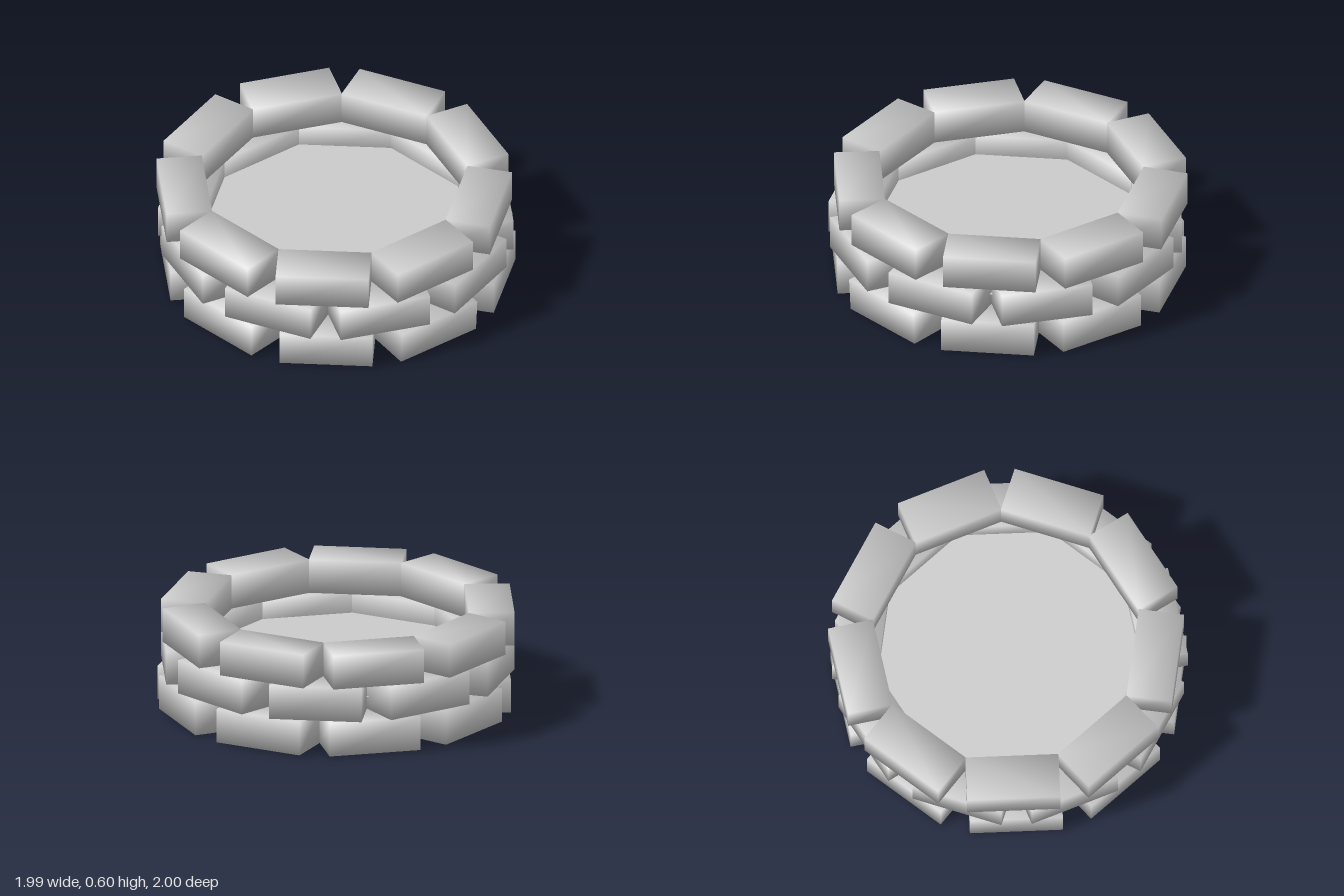
import * as THREE from 'three';
import { mergeVertices } from 'three/addons/utils/BufferGeometryUtils.js';

const BRICKS = 9;
const RADIUS = 0.836; // distance from the ring axis to a brick's middle
const DEPTH = 0.255, HEIGHT = 0.195, LENGTH = 0.52;

// Box with shared corners, giving soft shading across its edges
function softBox(w, h, d) {
  const box = new THREE.BoxGeometry(w, h, d);
  box.deleteAttribute('normal');
  box.deleteAttribute('uv');
  const soft = mergeVertices(box);
  soft.computeVertexNormals();
  return soft;
}

export function createModel() {
  const model = new THREE.Group();
  model.name = 'brickRing';
  const material = new THREE.MeshStandardMaterial({ color: 0xcccccc });
  const brickGeometry = softBox(DEPTH, HEIGHT, LENGTH);

  // Courses of bricks, each turned half a brick and set slightly off centre
  const courses = [
    { name: 'bottomCourse', x: -0.005, y: 0.105, z: 0.005, turn: 20 },
    { name: 'middleCourse', x: -0.005, y: 0.303, z: 0.005, turn: 0 },
    { name: 'topCourse', x: -0.025, y: 0.503, z: -0.01, turn: 20 },
  ];
  for (const { name, x, y, z, turn } of courses) {
    const course = new THREE.Group();
    course.name = name;
    course.position.set(x, y, z);
    for (let i = 0; i < BRICKS; i++) {
      const angle = THREE.MathUtils.degToRad(turn + (i * 360) / BRICKS);
      const brick = new THREE.Mesh(brickGeometry, material);
      brick.name = 'brick';
      brick.position.set(RADIUS * Math.cos(angle), 0, RADIUS * Math.sin(angle));
      brick.rotation.y = -angle;
      // One brick of the lowest course leans slightly outward
      if (name === 'bottomCourse' && i === 1) brick.rotation.z = -0.06;
      course.add(brick);
    }
    model.add(course);
  }

  // Thin floor held inside the middle course
  const floor = new THREE.Mesh(
    new THREE.CircleGeometry(0.78, 48),
    new THREE.MeshStandardMaterial({ color: 0xcccccc, side: THREE.DoubleSide })
  );
  floor.name = 'floor';
  floor.rotation.x = -Math.PI / 2;
  floor.position.y = 0.28;
  model.add(floor);

  return model;
}
